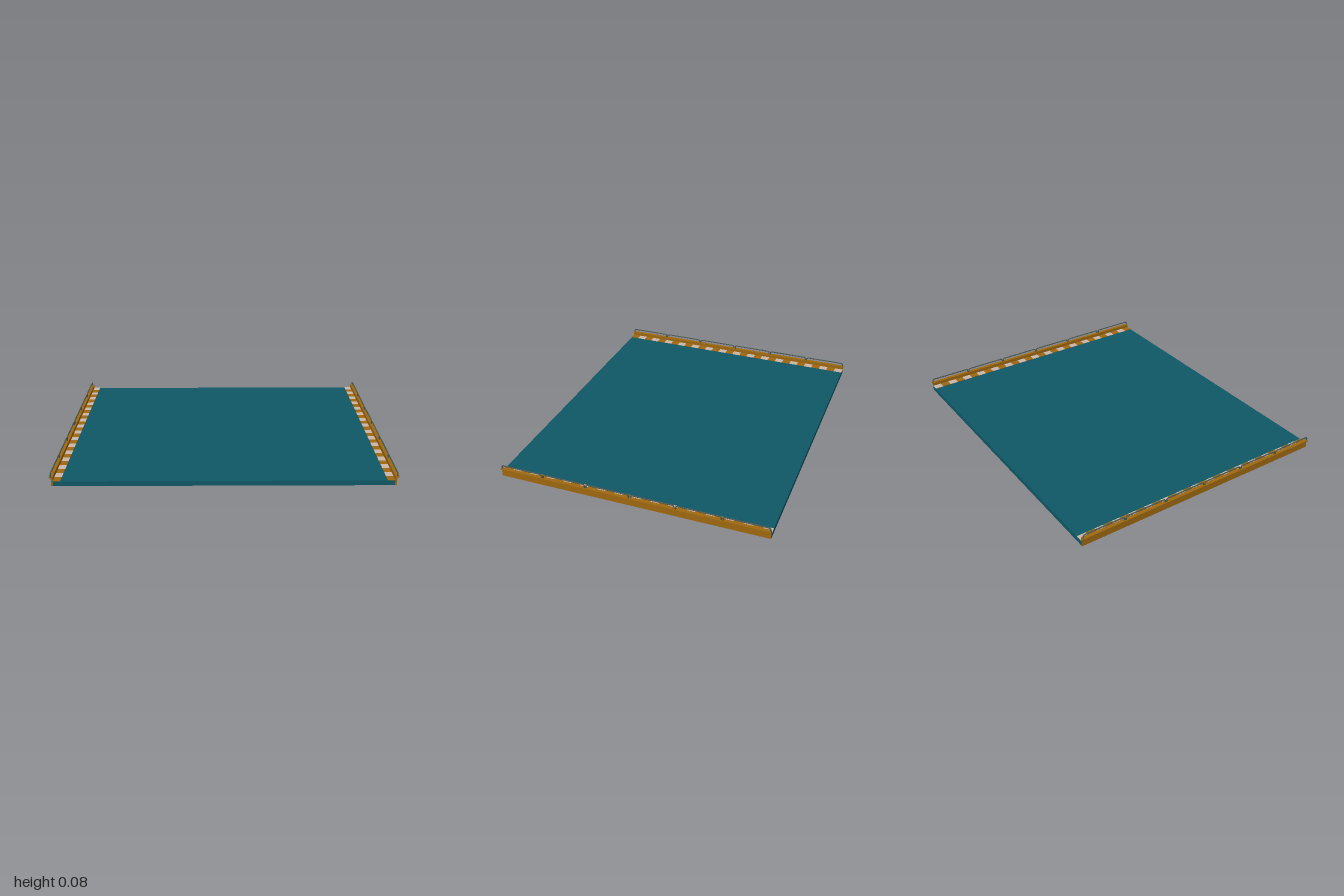
import * as THREE from 'three';

const HALF_Z = 0.835;
const paint = (color) => new THREE.MeshStandardMaterial({ color });

export function createModel() {
  const group = new THREE.Group();
  const teal = paint(0x0f5866), ochre = paint(0x9e6810);
  const pale = paint(0xcbb5a8), steel = paint(0x4c5a54);

  const add = (name, geometry, material, parent = group) => {
    const mesh = new THREE.Mesh(geometry, material);
    mesh.name = name;
    parent.add(mesh);
    return mesh;
  };
  const box = (name, w, h, d, x, y, z, material, parent) =>
    add(name, new THREE.BoxGeometry(w, h, d), material, parent).position.set(x, y, z);

  // Flat deck plate
  box('deck', 1.96, 0.03, HALF_Z * 2, 0, 0.015, 0, teal);

  // Low hoop rail: two legs, rounded corners and a straight top
  const railLength = HALF_Z * 2 / 6;
  const r = 0.004, e = railLength / 2 - r - 0.001, top = 0.08 - r, base = 0.05, c = 0.014;
  const v = (y, z) => new THREE.Vector3(0, y, z);
  const railPath = new THREE.CurvePath();
  railPath.add(new THREE.LineCurve3(v(base, -e), v(top - c, -e)));
  railPath.add(new THREE.QuadraticBezierCurve3(v(top - c, -e), v(top, -e), v(top, -e + c)));
  railPath.add(new THREE.LineCurve3(v(top, -e + c), v(top, e - c)));
  railPath.add(new THREE.QuadraticBezierCurve3(v(top, e - c), v(top, e), v(top - c, e)));
  railPath.add(new THREE.LineCurve3(v(top - c, e), v(base, e)));
  const railGeometry = new THREE.TubeGeometry(railPath, 80, r, 8);

  for (const side of [1, -1]) {
    const edge = new THREE.Group();
    edge.name = side > 0 ? 'leftEdge' : 'rightEdge';
    group.add(edge);

    // Curb: upright web with an outward top flange
    box('curbWeb', 0.01, 0.055, HALF_Z * 2, side * 0.983, 0.0275, 0, ochre, edge);
    box('curbFlange', 0.022, 0.006, HALF_Z * 2, side * 0.989, 0.052, 0, ochre, edge);

    // Alternating warning stripes beside the curb
    const count = 30, step = HALF_Z * 2 / count;
    for (let i = 0; i < count; i++) {
      box('warningStripe', 0.044, 0.004, step, side * 0.957, 0.031,
        -HALF_Z + (i + 0.5) * step, i % 2 ? ochre : pale, edge);
    }

    // Six hoop rails along the curb
    for (let i = 0; i < 6; i++) {
      add('hoopRail', railGeometry, steel, edge)
        .position.set(side * 0.99, 0, -HALF_Z + (i + 0.5) * railLength);
    }
  }
  return group;
}
